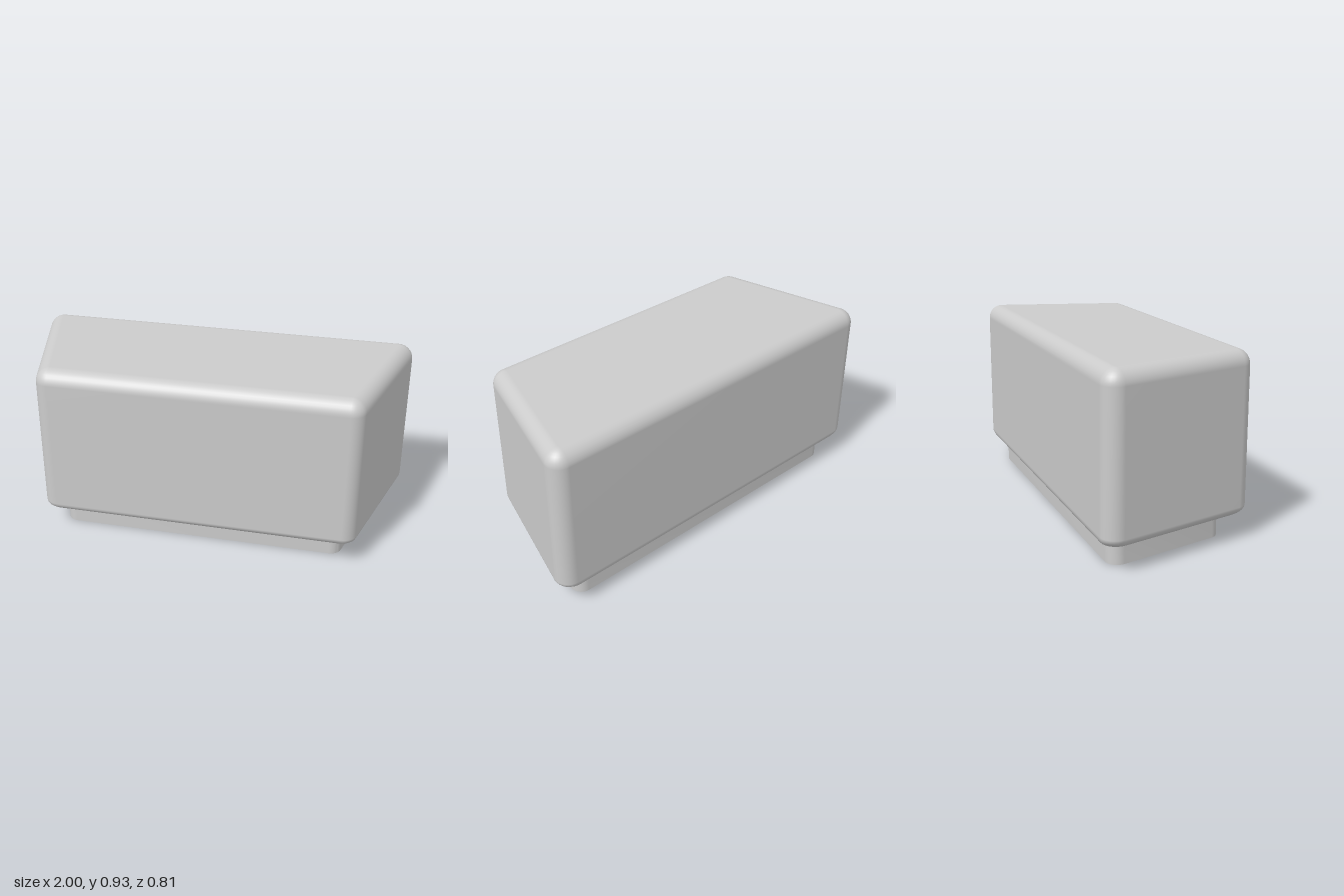
import * as THREE from 'three';
import { mergeVertices, toCreasedNormals } from 'three/addons/utils/BufferGeometryUtils.js';

const SEG = 8; // steps per rounded corner
const TAPER = Math.atan(0.265); // lean of the side walls towards the front

// Rounded trapezoid in plan: core corners (half-widths and z) plus a radius
function outline(xBack, zBack, xFront, zFront, r) {
  const pts = [];
  const corner = (side, x, z, a0, a1) => {
    for (let i = 0; i <= SEG; i++) {
      const a = a0 + (a1 - a0) * i / SEG;
      pts.push(new THREE.Vector2(side * (x + r * Math.cos(a)), z + r * Math.sin(a)));
    }
  };
  const q = Math.PI / 2;
  corner(1, xBack, zBack, -q, TAPER);
  corner(1, xFront, zFront, TAPER, q);
  corner(-1, xFront, zFront, q, TAPER);
  corner(-1, xBack, zBack, TAPER, -q);
  return pts;
}

const bodyOutline = r => outline(0.925, -0.33, 0.75, 0.33, r);
const baseOutline = outline(0.82, -0.28, 0.685, 0.23, 0.06);

// Skin a stack of rings from bottom to top, closing the top
function loft(rings) {
  const n = rings[0].pts.length, pos = [], idx = [];
  for (const { y, pts } of rings) for (const p of pts) pos.push(p.x, y, p.y);
  for (let i = 0; i < rings.length - 1; i++) {
    for (let j = 0; j < n; j++) {
      const k = (j + 1) % n;
      const a = i * n + j, b = i * n + k, c = a + n, d = b + n;
      idx.push(a, c, b, b, c, d);
    }
  }
  const top = (rings.length - 1) * n, centre = rings.length * n;
  pos.push(0, rings.at(-1).y, 0);
  for (let j = 0; j < n; j++) idx.push(centre, top + (j + 1) % n, top + j);
  const g = new THREE.BufferGeometry();
  g.setAttribute('position', new THREE.Float32BufferAttribute(pos, 3));
  g.setIndex(idx);
  const merged = mergeVertices(g, 1e-4);
  merged.computeVertexNormals();
  return merged;
}

export function createModel() {
  const group = new THREE.Group();
  const material = new THREE.MeshStandardMaterial({ color: 0xcccccc });
  const add = (name, geometry) => {
    const mesh = new THREE.Mesh(geometry, material);
    mesh.name = name;
    group.add(mesh);
  };

  // Body: underside curves out from the base, top edge is evenly rounded
  const R = 0.075, full = bodyOutline(R), rings = [];
  for (let i = 0; i <= SEG; i++) {
    const t = i / SEG * Math.PI / 2;
    rings.push({
      y: 0.17 - 0.06 * Math.cos(t),
      pts: baseOutline.map((p, j) => p.clone().lerp(full[j], Math.sin(t))),
    });
  }
  for (let i = 0; i <= SEG; i++) {
    const t = i / SEG * Math.PI / 2;
    rings.push({ y: 0.857 + R * Math.sin(t), pts: bodyOutline(R * Math.cos(t)) });
  }
  add('body', loft(rings));

  // Recessed base
  const base = new THREE.ExtrudeGeometry(new THREE.Shape(baseOutline), { depth: 0.11, bevelEnabled: false });
  base.rotateX(Math.PI / 2).translate(0, 0.11, 0);
  add('base', toCreasedNormals(base, 0.6));

  return group;
}
